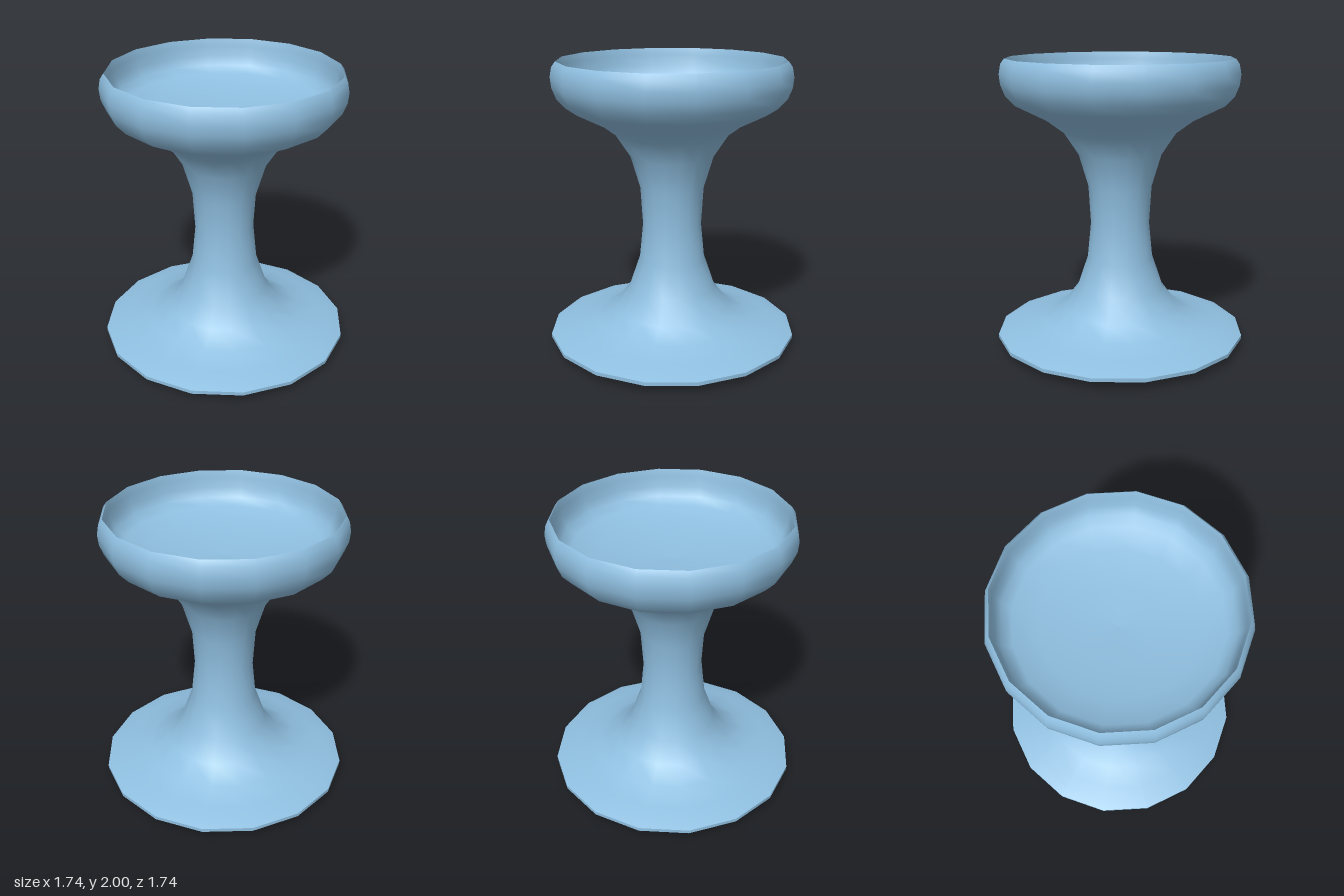
import * as THREE from 'three';

const SIDES = 16;

export function createModel() {
  const group = new THREE.Group();
  const blue = new THREE.MeshStandardMaterial({ color: 0x8fbfe0 });
  blue.name = 'softBlue';

  // Each profile is smooth; separate profiles keep the edges between them sharp
  const turn = (name, profile) => {
    const points = profile.map(([r, y]) => new THREE.Vector2(r, y));
    const mesh = new THREE.Mesh(new THREE.LatheGeometry(points, SIDES), blue);
    mesh.name = name;
    group.add(mesh);
  };

  // Slightly domed underside
  turn('underside', [[0, 0], [0.3, 0.012], [0.6, 0.032], [0.87, 0.06]]);

  // Thin edge of the foot
  turn('footEdge', [[0.87, 0.06], [0.87, 0.085]]);

  // Flared foot, waisted stem and outside of the bowl
  turn('stemAndBowl', [
    [0.87, 0.085], [0.8, 0.11], [0.71, 0.132], [0.55, 0.175], [0.41, 0.255],
    [0.305, 0.395], [0.232, 0.61], [0.206, 0.87], [0.222, 1.13], [0.287, 1.35],
    [0.385, 1.5], [0.5, 1.585], [0.71, 1.69], [0.77, 1.755], [0.8, 1.83],
    [0.807, 1.9], [0.795, 1.965], [0.77, 2],
  ]);

  // Shallow hollow of the bowl
  turn('bowlInside', [
    [0.77, 2], [0.757, 1.95], [0.75, 1.88], [0.72, 1.815], [0.66, 1.77],
    [0.5, 1.725], [0.25, 1.695], [0, 1.685],
  ]);

  return group;
}
